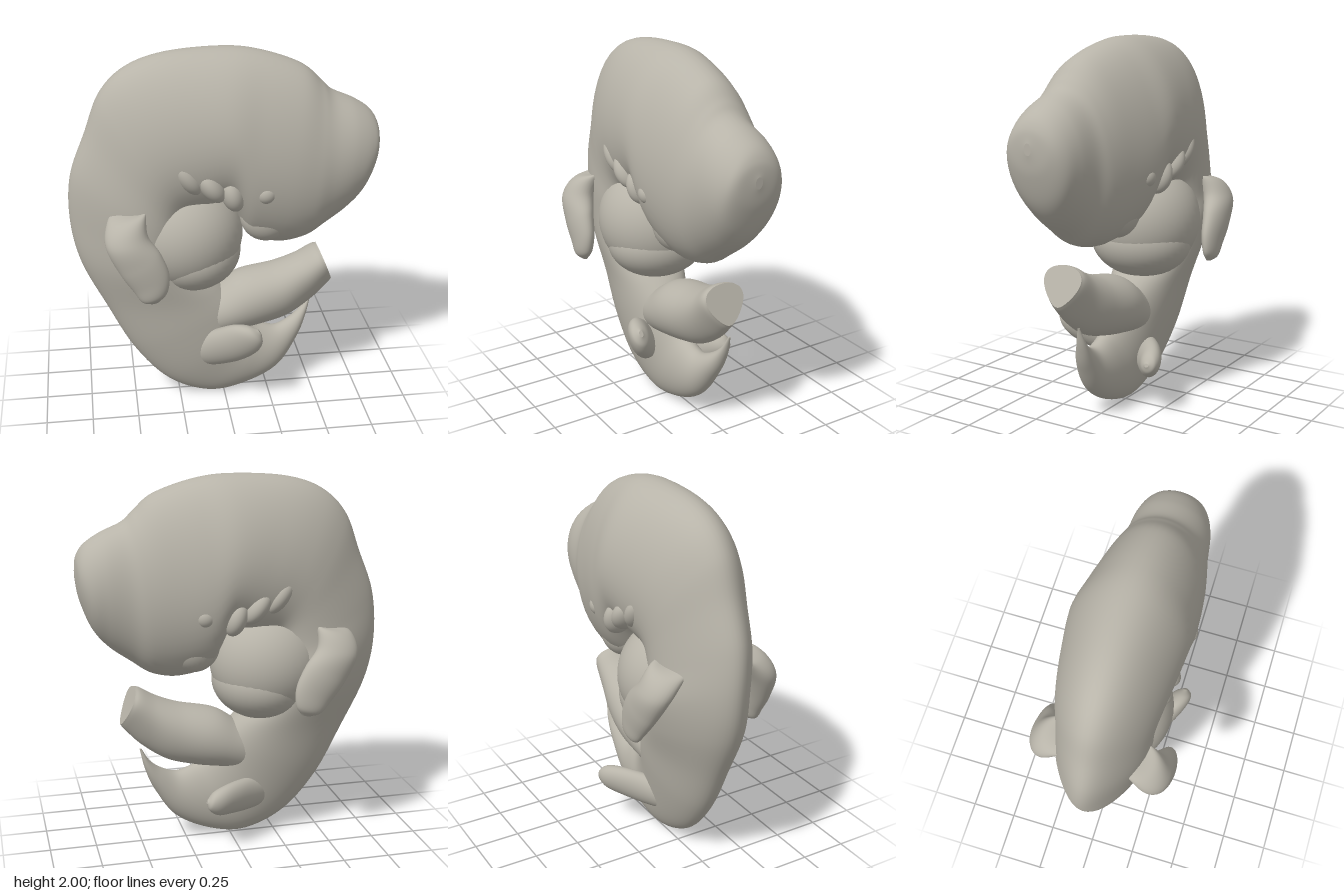
import * as THREE from 'three';

const skin = new THREE.MeshStandardMaterial({ color: 0xb8b4a9 });
skin.name = 'warm grey';

// Smooth skin through oval sections [outerX, outerY, innerX, innerY, centreZ, halfWidth, taper].
// Positive taper narrows the outer edge; side -1 mirrors in z.
function loft(name, sections, steps, side = 1, sides = 48) {
  const curve = (pick) => new THREE.CatmullRomCurve3(
    sections.map((s) => new THREE.Vector3(...pick(s))), false, 'catmullrom', 0.5);
  const outer = curve((s) => [s[0], s[1], s[4]]);
  const inner = curve((s) => [s[2], s[3], s[5]]);
  const shape = curve((s) => [s[6] ?? 0, 0, 0]);
  const pos = [], idx = [];
  const tri = (a, b, c) => (side > 0 ? idx.push(a, b, c) : idx.push(a, c, b));
  const ring = (t) => {
    const o = outer.getPoint(t), n = inner.getPoint(t), k = shape.getPoint(t).x;
    const mx = (o.x + n.x) / 2, my = (o.y + n.y) / 2;
    for (let j = 0; j < sides; j++) {
      const a = (j / sides) * Math.PI * 2, c = Math.cos(a);
      const z = o.z + Math.max(n.z, 0.002) * Math.sin(a) * (1 - k * c);
      pos.push(mx + (o.x - mx) * c, my + (o.y - my) * c, z * side);
    }
    return [mx, my, o.z * side];
  };
  for (let i = 0; i <= steps; i++) ring(i / steps);
  for (let i = 0; i < steps; i++) {
    for (let j = 0; j < sides; j++) {
      const a = i * sides + j, b = i * sides + (j + 1) % sides;
      tri(a, a + sides, b);
      tri(b, a + sides, b + sides);
    }
  }
  // Flat end caps with their own vertices
  for (const t of [0, 1]) {
    const start = pos.length / 3;
    pos.push(...ring(t));
    for (let j = 0; j < sides; j++) {
      const a = start + j, b = start + (j + 1) % sides;
      if (t) tri(start + sides, b, a);
      else tri(start + sides, a, b);
    }
  }
  const g = new THREE.BufferGeometry();
  g.setAttribute('position', new THREE.Float32BufferAttribute(pos, 3));
  g.setIndex(idx);
  g.computeVertexNormals();
  const mesh = new THREE.Mesh(g, skin);
  mesh.name = name;
  return mesh;
}

function ellipsoid(name, centre, radii, tilt = 0) {
  const mesh = new THREE.Mesh(new THREE.SphereGeometry(1, 40, 28), skin);
  mesh.name = name;
  mesh.position.set(...centre);
  mesh.scale.set(...radii);
  mesh.rotation.z = tilt;
  return mesh;
}

export function createModel() {
  const model = new THREE.Group();
  model.name = 'curledEmbryo';

  // Head, from the forehead round to the neck
  const head = [
    [0.808, 1.53, 0.806, 1.47, 0.04, 0.02, 0],
    [0.795, 1.60, 0.785, 1.36, 0.04, 0.12, 0],
    [0.755, 1.66, 0.73, 1.22, 0.035, 0.175, 0],
    [0.67, 1.715, 0.65, 1.12, 0.035, 0.205, -0.05],
    [0.56, 1.765, 0.53, 1.03, 0.035, 0.225, 0],
    [0.50, 1.82, 0.42, 0.96, 0.03, 0.25, 0.05],
    [0.40, 1.905, 0.27, 0.94, 0.025, 0.275, 0.08],
    [0.20, 1.975, 0.12, 1.0, 0.01, 0.30, 0.12],
    [0.0, 2.0, 0.03, 1.18, 0, 0.305, 0.15],
    [-0.3, 1.98, -0.08, 1.16, 0, 0.285, 0.18],
    [-0.5, 1.91, -0.16, 1.14, 0, 0.265, 0.22],
  ];
  // Trunk and tail
  const trunk = [
    [-0.63, 1.78, -0.19, 1.12, 0, 0.25, 0.27],
    [-0.71, 1.58, -0.2, 1.08, 0, 0.24, 0.3],
    [-0.795, 1.35, -0.2, 1.02, 0, 0.235, 0.36],
    [-0.81, 1.1, -0.2, 0.95, -0.01, 0.235, 0.38],
    [-0.765, 0.86, -0.14, 0.8, 0, 0.22, 0.3],
    [-0.64, 0.59, -0.02, 0.68, 0.01, 0.19, 0.22],
    [-0.5, 0.32, 0.05, 0.6, 0.02, 0.17, 0.15],
    [-0.32, 0.11, 0.1, 0.5, 0.03, 0.14, 0.1],
    [-0.1, 0.01, 0.16, 0.44, 0.03, 0.11, 0],
    [0.1, 0.03, 0.22, 0.41, 0.025, 0.095, 0],
    [0.3, 0.13, 0.3, 0.39, 0.02, 0.08, 0],
    [0.42, 0.30, 0.385, 0.425, 0, 0.055, 0],
    [0.475, 0.43, 0.45, 0.48, -0.02, 0.03, 0],
    [0.505, 0.555, 0.495, 0.555, -0.03, 0.006, 0],
  ];
  model.add(loft('headTrunkAndTail', [...head, ...trunk], 192));
  model.add(ellipsoid('chest', [-0.205, 1.0, 0], [0.31, 0.31, 0.3]));
  model.add(ellipsoid('belly', [-0.165, 0.885, 0], [0.26, 0.205, 0.28], 0.1));

  // Cord with a flat cut end
  model.add(loft('umbilicalCord', [
    [-0.16, 0.32, -0.26, 0.56, 0.02, 0.1, 0],
    [0.04, 0.4, -0.06, 0.65, 0.02, 0.155, 0],
    [0.2, 0.43, 0.08, 0.735, 0.02, 0.17, 0.05],
    [0.35, 0.47, 0.28, 0.78, 0.025, 0.15, 0.15],
    [0.48, 0.555, 0.4, 0.825, 0.03, 0.125, 0.3],
    [0.57, 0.645, 0.48, 0.87, 0.035, 0.115, 0.4],
    [0.597, 0.68, 0.515, 0.88, 0.035, 0.105, 0.4],
  ], 48));

  // Paddle-shaped arm buds, the right one reaching further forward
  const arm = [
    [-0.56, 1.22, -0.40, 1.20, 0.10, 0.07],
    [-0.62, 1.17, -0.42, 1.22, 0.22, 0.085],
    [-0.635, 1.07, -0.42, 1.12, 0.295, 0.085],
    [-0.57, 0.93, -0.36, 1.03, 0.325, 0.07],
    [-0.505, 0.83, -0.32, 0.92, 0.335, 0.055],
    [-0.465, 0.77, -0.33, 0.82, 0.34, 0.04],
    [-0.42, 0.75, -0.375, 0.76, 0.335, 0.01],
  ];
  const rightArm = arm.map(([ox, oy, ix, iy, z, w], i) =>
    [ox + 0.012 * i, oy + 0.003 * i, ix + 0.012 * i, iy + 0.003 * i, z, w * (1 - 0.04 * i)]);
  model.add(loft('leftArm', arm, 48, 1, 32), loft('rightArm', rightArm, 48, -1, 32));

  // Leg buds, the left one raised higher
  model.add(loft('leftLeg', [
    [-0.2, 0.2, -0.28, 0.3, 0.03, 0.05],
    [-0.08, 0.22, -0.18, 0.39, 0.1, 0.08],
    [0.05, 0.29, -0.07, 0.48, 0.195, 0.08],
    [0.14, 0.37, 0.02, 0.54, 0.26, 0.068],
    [0.175, 0.44, 0.09, 0.55, 0.29, 0.05],
    [0.17, 0.50, 0.15, 0.53, 0.3, 0.012],
  ], 40, 1, 32));
  model.add(loft('rightLeg', [
    [-0.22, 0.17, -0.26, 0.3, 0.0, 0.05],
    [-0.08, 0.17, -0.13, 0.35, 0.075, 0.075],
    [0.04, 0.19, -0.02, 0.37, 0.155, 0.075],
    [0.12, 0.21, 0.07, 0.37, 0.21, 0.065],
    [0.17, 0.25, 0.14, 0.35, 0.235, 0.045],
    [0.185, 0.29, 0.18, 0.31, 0.24, 0.012],
  ], 40, -1, 32));

  // Gill arches along the neck: [x, y, z, length, tilt]
  const arches = [[-0.21, 1.40, 0.205, 0.12, 0.6], [-0.09, 1.345, 0.215, 0.105, 0.6], [0.02, 1.29, 0.205, 0.1, 0.3]];
  for (const s of [1, -1]) {
    const side = s > 0 ? 'left' : 'right';
    arches.forEach(([x, y, z, length, tilt], i) =>
      model.add(ellipsoid(side + 'GillArch' + (i + 1), [x, y, s * z], [0.06, length, 0.085], tilt)));
    // Eye bump and jaw swelling
    model.add(ellipsoid(side + 'Eye', [0.185, 1.305, s * 0.25 + 0.015], [0.055, 0.055, 0.05]));
    model.add(ellipsoid(side + 'Jaw', [0.215, 1.12, s * 0.1 + 0.02], [0.14, 0.14, 0.115], 0.4));
  }
  return model;
}
